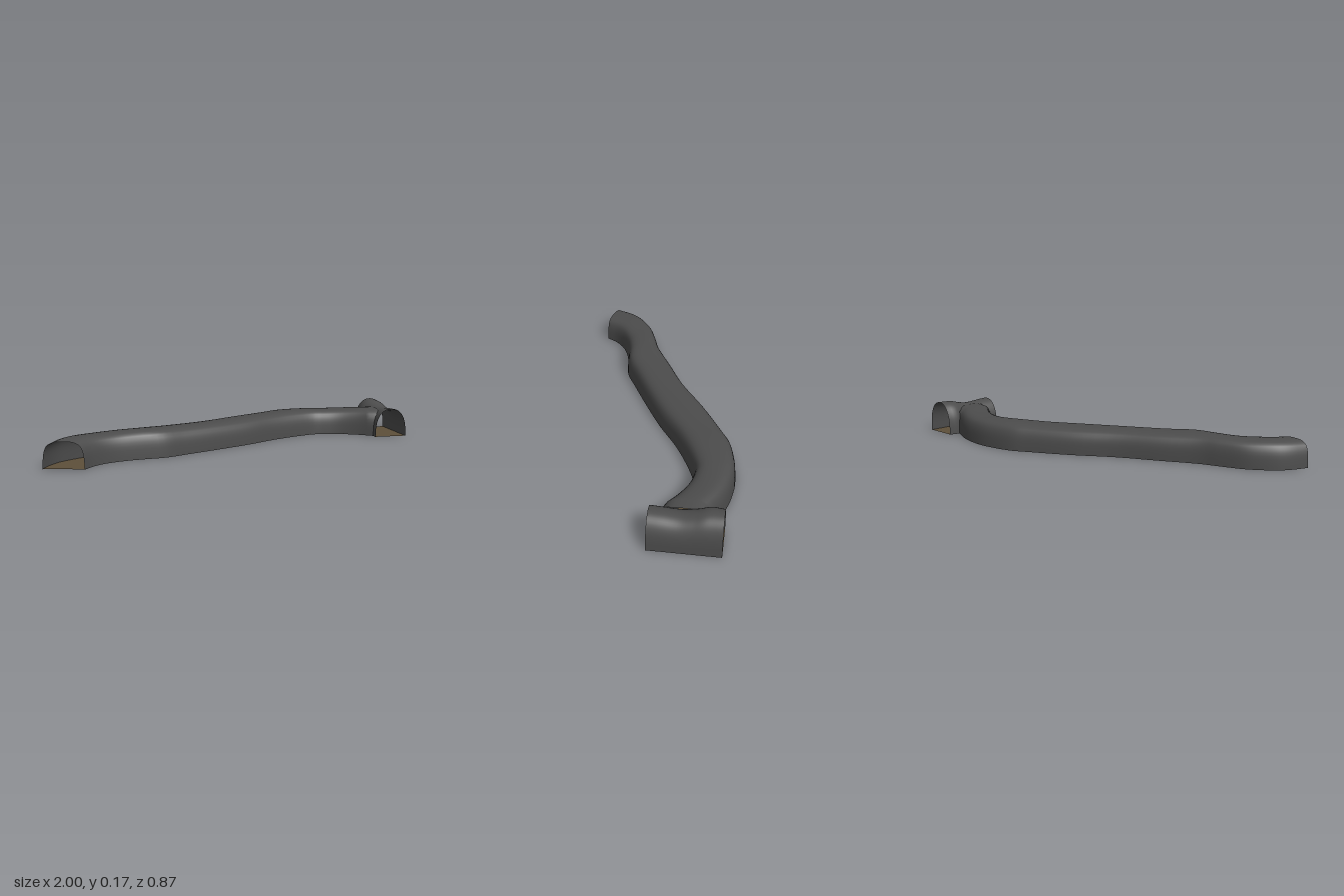
import * as THREE from 'three';

const shellMat = new THREE.MeshStandardMaterial({ color: 0x4c4c4c, side: THREE.DoubleSide });
shellMat.name = 'dark grey shell';
const floorMat = new THREE.MeshStandardMaterial({ color: 0x5e503a, side: THREE.DoubleSide });
floorMat.name = 'brown floor';

// Smoothly resample a list of 2D points
function smooth(points, n) {
  const curve = new THREE.CatmullRomCurve3(points.map(([a, b, c = 0]) => new THREE.Vector3(a, b, c)), false, 'centripetal');
  return Array.from({ length: n + 1 }, (_, i) => curve.getPoint(i / n));
}

// Skin a list of rows of Vector3; skip(a, d) may leave out a quad
function loft(rows, material, name, skip = () => false) {
  const w = rows[0].length;
  const index = [];
  for (let i = 0; i < rows.length - 1; i++) {
    for (let j = 0; j < w - 1; j++) {
      if (skip(rows[i][j], rows[i + 1][j + 1])) continue;
      const a = i * w + j, b = a + 1, c = a + w, d = c + 1;
      index.push(a, b, c, b, d, c);
    }
  }
  const geo = new THREE.BufferGeometry().setFromPoints(rows.flat());
  geo.setIndex(index);
  geo.computeVertexNormals();
  const mesh = new THREE.Mesh(geo, material);
  mesh.name = name;
  return mesh;
}

// Arch profiles: fraction of width, fraction of height
const mirrorArch = half => [...half, ...half.slice(0, -1).reverse().map(([u, v]) => [1 - u, v])];
const wideArch = smooth(mirrorArch([[0, 0], [0.01, 0.3], [0.035, 0.6], [0.11, 0.85], [0.25, 0.97], [0.5, 1]]), 24);
const roundArch = smooth(mirrorArch([[0, 0], [0.015, 0.35], [0.06, 0.6], [0.17, 0.83], [0.32, 0.96], [0.5, 1]]), 32);

export function createModel() {
  const group = new THREE.Group();
  group.name = 'tunnel';

  // Winding passage: back edge x, z, front edge x, z, height
  const stations = [
    [-1, 0.38, -0.81, 0.43, 0.13],
    [-0.955, 0.285, -0.77, 0.37, 0.133],
    [-0.9, 0.22, -0.71, 0.318, 0.134],
    [-0.8, 0.15, -0.63, 0.28, 0.133],
    [-0.68, 0.105, -0.53, 0.255, 0.136],
    [-0.57, 0.068, -0.41, 0.236, 0.137],
    [-0.4, -0.02, -0.29, 0.177, 0.132],
    [-0.2, -0.12, -0.1, 0.08, 0.13],
    [0, -0.25, 0.08, -0.018, 0.131],
    [0.2, -0.36, 0.23, -0.115, 0.133],
    [0.31, -0.413, 0.37, -0.187, 0.136],
    [0.47, -0.44, 0.5, -0.237, 0.135],
    [0.6, -0.431, 0.58, -0.235, 0.134],
    [0.7, -0.405, 0.66, -0.215, 0.137],
    [0.78, -0.37, 0.75, -0.17, 0.143],
    [0.825, -0.35, 0.825, -0.115, 0.146],
  ];
  const n = 60;
  // Resample both edges at matching station parameters
  const resample = pts => {
    const c = new THREE.CatmullRomCurve3(pts.map(p => new THREE.Vector3(...p)), false, 'catmullrom', 0.5);
    return Array.from({ length: n + 1 }, (_, i) => c.getPoint(i / n));
  };
  const back = resample(stations.map(s => [s[0], s[4], s[1]]));
  const front = resample(stations.map(s => [s[2], s[4], s[3]]));

  const passage = back.map((b, i) => wideArch.map(p => {
    const v = b.clone().lerp(front[i], p.x);
    v.y = b.y * p.y;
    // the crown reaches onto the curved side of the end chamber
    if (i === n) v.x += 0.045 * p.y ** 3;
    return v;
  }));
  group.add(loft(passage, shellMat, 'passageShell'));
  const level = (p, y) => new THREE.Vector3(p.x, y, p.z);
  group.add(loft(back.map((b, i) => [level(b, 0.002), level(front[i], 0.002)]), floorMat, 'passageFloor'));

  // Cross chamber: z, height along its length
  const heights = smooth([[-0.08, 0.157], [-0.13, 0.154], [-0.22, 0.148], [-0.28, 0.157], [-0.34, 0.172], [-0.415, 0.175]], 24);
  const leftX = z => 0.82 - 0.01 * THREE.MathUtils.smoothstep(-z, 0.3, 0.36) * (1 - THREE.MathUtils.smoothstep(-z, 0.36, 0.415));
  const chamber = heights.map(h => roundArch.map(p =>
    new THREE.Vector3(THREE.MathUtils.lerp(leftX(h.x), 1, p.x), h.y * p.y, h.x)));
  // Doorway where the passage enters
  const doorway = (a, d) => a.x < 0.87 && Math.max(a.y, d.y) < 0.125 && a.z < -0.125 && d.z > -0.345;
  group.add(loft(chamber, shellMat, 'chamberShell', doorway));
  group.add(loft(heights.map(h => [
    new THREE.Vector3(leftX(h.x), 0.001, h.x), new THREE.Vector3(1, 0.001, h.x)]), floorMat, 'chamberFloor'));

  return group;
}
